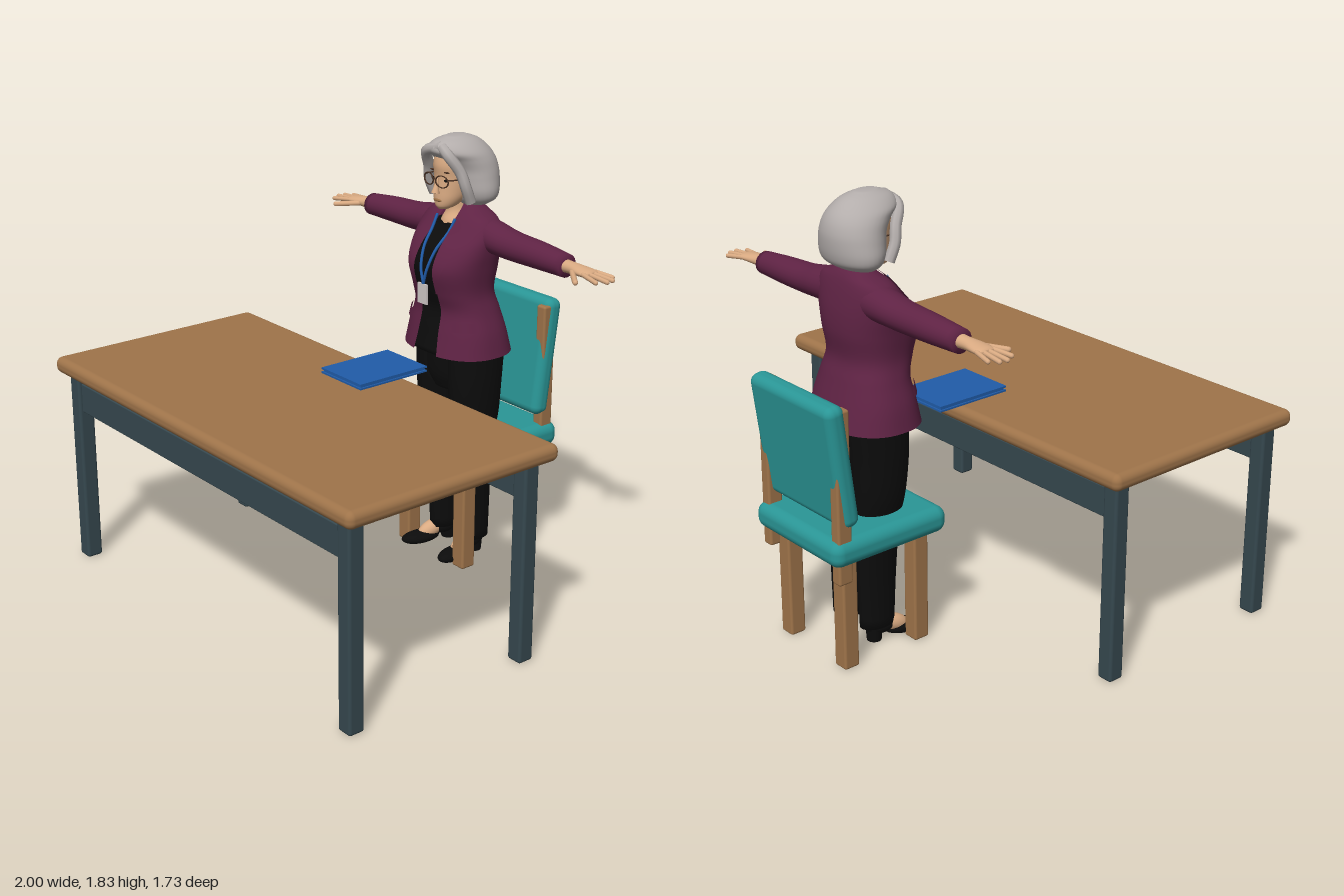
import * as THREE from 'three';
import { mergeVertices } from 'three/addons/utils/BufferGeometryUtils.js';
import { RoundedBoxGeometry } from 'three/addons/geometries/RoundedBoxGeometry.js';

const paint = (name, color, side = THREE.FrontSide) => {
  const m = new THREE.MeshStandardMaterial({ color, side });
  m.name = name;
  return m;
};
const wood = paint('wood', 0x9f744a);
const steel = paint('slate steel', 0x36484f);
const teal = paint('teal fabric', 0x2a9696);
const blue = paint('blue', 0x205ca9);
const plum = paint('plum cloth', 0x5f2344, THREE.DoubleSide);
const black = paint('black cloth', 0x0c0c0c);
const grey = paint('grey hair', 0xb3adab);
const skin = paint('skin', 0xd9aa82);
const card = paint('badge card', 0xcfc8c6);
const brown = paint('brown frame', 0x4a3224);

function add(parent, name, geometry, material, x = 0, y = 0, z = 0) {
  const m = new THREE.Mesh(geometry, material);
  m.name = name;
  m.position.set(x, y, z);
  parent.add(m);
  return m;
}
const box = (w, h, d, r) => new RoundedBoxGeometry(w, h, d, 4, r);
const V = (x, y, z) => new THREE.Vector3(x, y, z);
const tube = (pts, r, n = 24) => new THREE.TubeGeometry(new THREE.CatmullRomCurve3(pts), n, r, 8);

// Smooth skin through elliptical sections, bottom to top: [y, centreX, radiusX, zFront, zBack, ...extra].
// span(section) gives the arc to cover, with 0 at the front; a full ring is capped.
function loft(rows, { power = 1, span = null, n = 36, steps = 6 } = {}) {
  const curve = new THREE.CubicInterpolant(rows.map((_, i) => i), rows.flat(), rows[0].length);
  const sections = [];
  for (let k = 0; k <= (rows.length - 1) * steps; k++) sections.push(Array.from(curve.evaluate(k / steps)));
  if (!span) {
    const closeEnd = ([y, cx, , f, b]) => [y, cx, 0, (f + b) / 2, (f + b) / 2];
    sections.unshift(closeEnd(sections[0]));
    sections.push(closeEnd(sections[sections.length - 1]));
  }
  const bend = (v) => Math.sign(v) * Math.abs(v) ** power;
  const pos = [], index = [];
  sections.forEach((s, k) => {
    const [y, cx, rx, f, b] = s;
    const [a0, a1] = span ? span(s) : [0, Math.PI * 2];
    for (let j = 0; j <= n; j++) {
      const a = !span && j === n ? 0 : a0 + ((a1 - a0) * j) / n;
      pos.push(cx + rx * bend(Math.sin(a)), y, (f + b) / 2 + ((f - b) / 2) * bend(Math.cos(a)));
      if (k && j) {
        const q = k * (n + 1) + j, p = q - n - 1;
        index.push(p - 1, p, q - 1, p, q, q - 1);
      }
    }
  });
  let g = new THREE.BufferGeometry();
  g.setAttribute('position', new THREE.Float32BufferAttribute(pos, 3));
  g.setIndex(index);
  g = mergeVertices(g, 1e-5);
  g.computeVertexNormals();
  return g;
}

function blob(parent, name, material, x, y, z, rx, ry, rz) {
  const m = add(parent, name, new THREE.SphereGeometry(1, 24, 16), material, x, y, z);
  m.scale.set(rx, ry, rz);
  return m;
}

function finger(parent, name, a, b, r) {
  const d = b.clone().sub(a), c = a.clone().add(b).multiplyScalar(0.5);
  const m = add(parent, name, new THREE.CapsuleGeometry(r, d.length() - r, 4, 10), skin, c.x, c.y, c.z);
  m.quaternion.setFromUnitVectors(V(0, 1, 0), d.normalize());
}

function makeTable() {
  const t = new THREE.Group();
  t.name = 'table';
  add(t, 'tableTop', box(2, 0.07, 0.99, 0.03), wood, 0, 0.867, 0.37);
  for (const z of [0.79, -0.035]) {
    add(t, 'tableRail', box(1.78, 0.125, 0.04, 0.005), steel, 0, 0.738, z);
    for (const s of [-1, 1]) add(t, 'tableLeg', box(0.07, 0.838, 0.07, 0.012), steel, s * 0.913, 0.419, z);
  }
  // folder with two covers
  for (const y of [0.912, 0.929]) add(t, 'folderCover', new THREE.BoxGeometry(0.255, 0.007, 0.345), blue, -0.002, y, -0.05);
  add(t, 'folderPages', new THREE.BoxGeometry(0.24, 0.012, 0.33), blue, -0.002, 0.9205, -0.05);
  return t;
}

function makeChair() {
  const c = new THREE.Group();
  c.name = 'chair';
  add(c, 'chairSeat', box(0.54, 0.11, 0.55, 0.045), teal, 0, 0.525, -0.575);
  add(c, 'chairBack', box(0.515, 0.51, 0.085, 0.036), teal, -0.002, 0.875, -0.79).rotation.x = -0.13;
  for (const s of [-1, 1]) {
    for (const z of [-0.395, -0.745]) add(c, 'chairLeg', box(0.07, 0.5, 0.07, 0.01), wood, s * 0.178, 0.25, z);
    add(c, 'backPost', box(0.05, 0.71, 0.065, 0.01), wood, s * 0.225, 0.75, -0.79);
  }
  return c;
}

function makeClothes(p) {
  // jacket sections end with: front opening half width, lapel width
  const jacket = [
    [0.935, 0, 0.24, -0.315, -0.685, 0.07, 0], [1.03, 0, 0.222, -0.335, -0.66, 0.06, 0],
    [1.12, 0, 0.193, -0.35, -0.635, 0.058, 0], [1.2, 0, 0.176, -0.325, -0.615, 0.06, 0.004],
    [1.3, 0, 0.188, -0.302, -0.63, 0.06, 0.04], [1.38, 0, 0.2, -0.335, -0.63, 0.058, 0.07],
    [1.45, 0, 0.203, -0.395, -0.62, 0.055, 0.065], [1.5, 0, 0.175, -0.435, -0.608, 0.05, 0.05],
    [1.53, 0, 0.11, -0.465, -0.595, 0.045, 0.035], [1.555, 0, 0.07, -0.485, -0.575, 0.042, 0.02],
  ];
  const angle = (x, rx) => Math.asin(Math.min(1, x / rx) ** (1 / 0.85));
  add(p, 'jacket', loft(jacket, {
    power: 0.85, n: 60, span: ([, , rx, , , g]) => [angle(g, rx), Math.PI * 2 - angle(g, rx)],
  }), plum);
  const puffed = (rows, d) => rows.map(([y, cx, rx, f, b, ...e]) => [y, cx, rx + d, f + d, b - d, ...e]);
  for (const s of [-1, 1]) {
    const side = (a, b) => (s > 0 ? [a, b] : [-b, -a]);
    add(p, 'lapel', loft(puffed(jacket.slice(3), 0.007), {
      power: 0.85, n: 8, span: ([, , rx, , , g, w]) => side(angle(g, rx), angle(g + Math.max(w, 0), rx)),
    }), plum);
    add(p, 'pocketFlap', loft(puffed([[1.05, 0, 0.216, -0.338, -0.655], [1.09, 0, 0.204, -0.345, -0.643]], 0.008), {
      power: 0.85, n: 8, span: () => side(0.55, 1.15),
    }), plum);
  }
  const shirt = puffed(jacket.slice(0, 7), -0.014).map((r) => r.slice(0, 5));
  shirt.push([1.475, 0, 0.1, -0.425, -0.58]);
  add(p, 'shirt', loft(shirt, { power: 0.85 }), black);
  add(p, 'hips', loft([[0.76, 0, 0.12, -0.41, -0.61], [0.83, 0, 0.185, -0.385, -0.638], [0.96, 0, 0.195, -0.378, -0.655]]), black);

  // lanyard and badge
  for (const s of [-1, 1]) add(p, 'lanyard', tube([V(s * 0.055, 1.5, -0.425), V(s * 0.05, 1.45, -0.395), V(s * 0.036, 1.38, -0.338),
    V(s * 0.018, 1.3, -0.308), V(0, 1.235, -0.306)], 0.006), blue);
  add(p, 'badge', new THREE.BoxGeometry(0.058, 0.085, 0.008), card, -0.003, 1.193, -0.306);
}

function makeLimbs(p, s) {
  // arm stretched sideways: the loft axis is turned from up to outward
  const arm = new THREE.Group();
  arm.name = s > 0 ? 'leftArm' : 'rightArm';
  arm.rotation.z = -s * Math.PI / 2;
  p.add(arm);
  const along = (rows) => loft(rows.map(([x, y, ...r]) => [x, -s * y, ...r]), { n: 24 });
  add(arm, 'sleeve', along([[0.1, 1.44, 0.075, -0.455, -0.605], [0.2, 1.432, 0.066, -0.455, -0.602], [0.3, 1.422, 0.06, -0.462, -0.592],
    [0.45, 1.418, 0.055, -0.468, -0.585], [0.6, 1.412, 0.047, -0.475, -0.57]]), plum);
  add(arm, 'palm', along([[0.56, 1.412, 0.028, -0.492, -0.552], [0.63, 1.412, 0.024, -0.492, -0.55],
    [0.68, 1.412, 0.02, -0.482, -0.558], [0.725, 1.411, 0.015, -0.48, -0.563], [0.74, 1.41, 0.008, -0.49, -0.555]]), skin);
  [[0.8, -0.572, -0.554], [0.828, -0.543, -0.533], [0.832, -0.51, -0.512], [0.81, -0.47, -0.49]].forEach(([x, z, z0]) =>
    finger(p, 'finger', V(s * 0.715, 1.412, z0), V(s * x, 1.403, z), 0.0095));
  finger(p, 'thumb', V(s * 0.655, 1.408, -0.495), V(s * 0.745, 1.397, -0.424), 0.011);

  // trouser leg
  add(p, 'trouserLeg', loft([[0.07, s * 0.088, 0.052, -0.45, -0.605], [0.3, s * 0.087, 0.055, -0.435, -0.612],
    [0.5, s * 0.09, 0.066, -0.42, -0.612], [0.65, s * 0.1, 0.088, -0.4, -0.625],
    [0.8, s * 0.1, 0.098, -0.385, -0.635], [0.94, s * 0.098, 0.098, -0.38, -0.65]]), black);

  // foot and heeled shoe
  const foot = new THREE.Group();
  foot.name = s > 0 ? 'leftFoot' : 'rightFoot';
  foot.position.set(s * 0.088, 0, -0.53);
  foot.rotation.y = s * 0.17;
  p.add(foot);
  blob(foot, 'shoeToe', black, 0, 0.027, 0.13, 0.047, 0.027, 0.092);
  blob(foot, 'shoeHeelCup', black, 0, 0.06, 0.015, 0.04, 0.036, 0.068);
  add(foot, 'shoeHeel', new THREE.CylinderGeometry(0.035, 0.03, 0.06, 20), black, 0, 0.03, -0.012);
  blob(foot, 'instep', skin, 0, 0.055, 0.075, 0.034, 0.036, 0.07).rotation.x = 0.35;
  add(foot, 'ankle', new THREE.CylinderGeometry(0.034, 0.034, 0.06, 20), skin, 0, 0.095, 0.015);
}

function makeHead(p) {
  const h = new THREE.Group();
  h.name = 'head';
  h.position.x = -0.006;
  p.add(h);
  add(h, 'neck', loft([[1.43, 0, 0.085, -0.415, -0.57], [1.48, 0, 0.07, -0.425, -0.575], [1.53, 0, 0.05, -0.447, -0.565], [1.62, 0, 0.05, -0.44, -0.56]]), skin);
  add(h, 'face', loft([[1.535, 0, 0.02, -0.392, -0.44], [1.55, 0, 0.043, -0.381, -0.48], [1.58, 0, 0.062, -0.378, -0.52],
    [1.62, 0, 0.074, -0.38, -0.56], [1.67, 0, 0.081, -0.382, -0.58], [1.72, 0, 0.082, -0.377, -0.59],
    [1.77, 0, 0.07, -0.392, -0.58], [1.8, 0, 0.045, -0.43, -0.55]]), skin);
  // nose and lips
  const nose = add(h, 'nose', new THREE.ConeGeometry(0.017, 0.07, 16), skin, 0, 1.638, -0.376);
  nose.rotation.x = -0.2;
  blob(h, 'noseTip', skin, 0, 1.612, -0.368, 0.014, 0.011, 0.012);
  blob(h, 'lips', wood, 0, 1.574, -0.381, 0.024, 0.007, 0.006);

  // bobbed hair with a swept fringe
  add(h, 'hair', loft([[1.552, 0, 0.11, -0.475, -0.6], [1.575, 0, 0.143, -0.455, -0.635], [1.61, 0, 0.153, -0.44, -0.65],
    [1.66, 0, 0.146, -0.43, -0.657], [1.7, 0, 0.138, -0.42, -0.656], [1.74, 0, 0.128, -0.392, -0.645],
    [1.775, 0, 0.112, -0.355, -0.622], [1.81, 0, 0.076, -0.37, -0.58], [1.832, 0, 0.03, -0.43, -0.52]]), grey);
  for (const s of [-1, 1]) {
    add(h, 'fringeLock', tube([V(0.025, 1.795, -0.38), V(s * 0.065, 1.768, -0.378), V(s * 0.098, 1.7, -0.415), V(s * 0.113, 1.64, -0.432),
      V(s * 0.112, 1.575, -0.46)], 0.023), grey);
    // eyes, brows and glasses
    blob(h, 'eye', black, s * 0.037, 1.657, -0.392, 0.013, 0.006, 0.004);
    blob(h, 'brow', brown, s * 0.038, 1.692, -0.391, 0.022, 0.004, 0.005);
    const rim = add(h, 'glassesRim', new THREE.TorusGeometry(0.03, 0.003, 8, 32), brown, s * 0.04, 1.658, -0.368);
    rim.scale.set(1.1, 0.8, 1);
    rim.rotation.y = s * 0.15;
    add(h, 'glassesTemple', tube([V(s * 0.073, 1.668, -0.372), V(s * 0.084, 1.668, -0.4), V(s * 0.086, 1.666, -0.47)], 0.003), brown);
  }
  add(h, 'glassesBridge', tube([V(-0.009, 1.662, -0.364), V(0, 1.667, -0.358), V(0.009, 1.662, -0.364)], 0.003, 8), brown);
}

export function createModel() {
  const model = new THREE.Group();
  model.name = 'teacherAtDesk';
  const person = new THREE.Group();
  person.name = 'person';
  person.position.x = -0.002;
  makeClothes(person);
  for (const s of [-1, 1]) makeLimbs(person, s);
  makeHead(person);
  model.add(makeTable(), makeChair(), person);
  return model;
}
